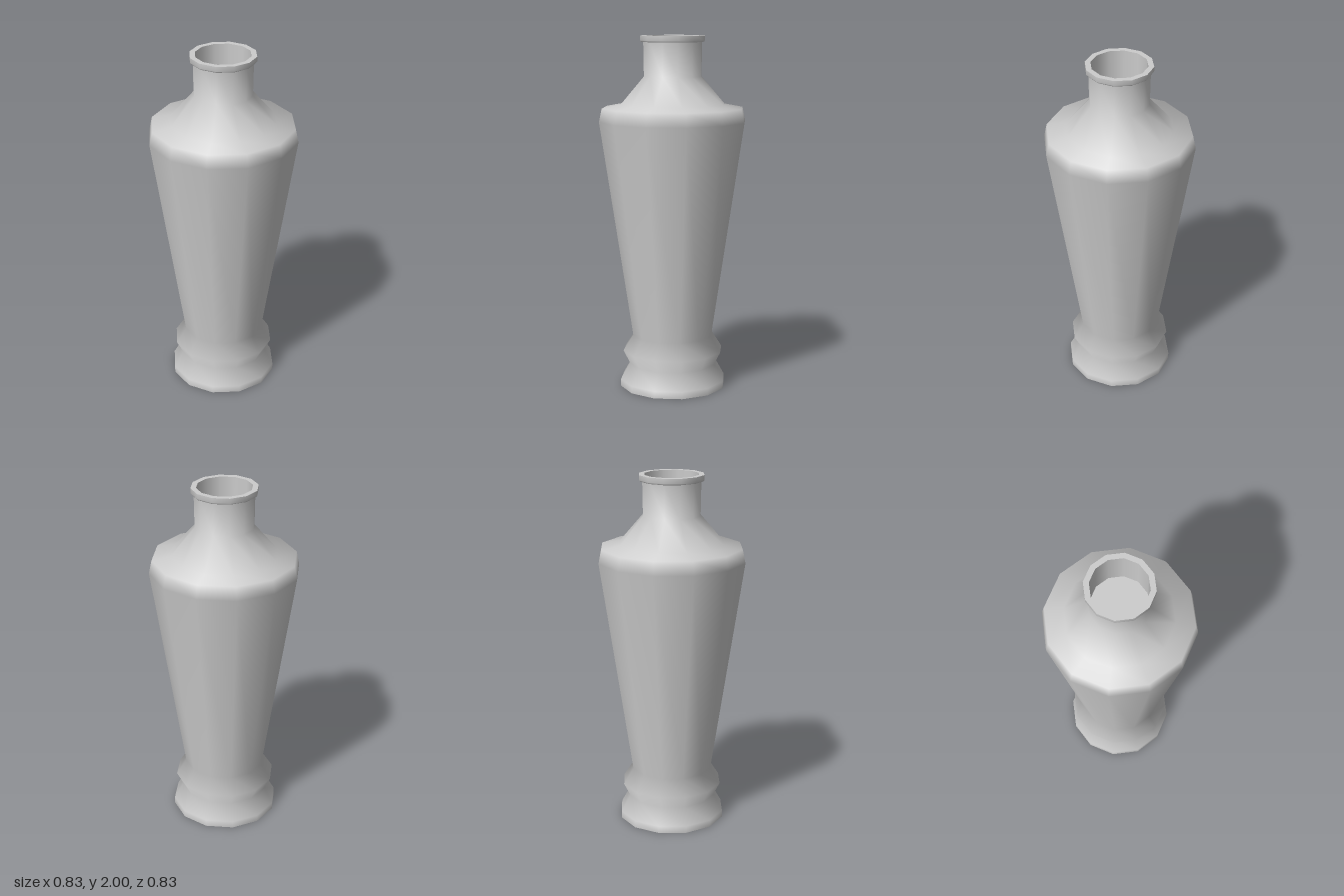
import * as THREE from 'three';

const SIDES = 12;

export function createModel() {
  const group = new THREE.Group();
  group.name = 'vase';
  const material = new THREE.MeshStandardMaterial({ color: 0xcccccc });

  // Each part is a turned profile of [radius, height]; separate parts keep hard edges between them
  const turn = (name, profile) => {
    const points = profile.map(([r, y]) => new THREE.Vector2(r, y));
    const mesh = new THREE.Mesh(new THREE.LatheGeometry(points, SIDES), material);
    mesh.name = name;
    group.add(mesh);
  };

  turn('base', [[0, 0], [0.303, 0]]);

  // Flared foot, collar ring, tapering body, shoulder and neck
  turn('body', [
    [0.303, 0], [0.303, 0.04], [0.25, 0.135], [0.287, 0.21], [0.23, 0.3],
    [0.416, 1.525], [0.4, 1.6], [0.295, 1.62], [0.163, 1.775], [0.166, 1.965],
  ]);

  // Lip around the mouth
  turn('lipUnderside', [[0.166, 1.965], [0.177, 1.965]]);
  turn('lipEdge', [[0.177, 1.965], [0.183, 1.973], [0.183, 2]]);
  turn('rim', [[0.183, 2], [0.153, 2]]);

  // Hollow neck
  turn('neckInside', [[0.153, 2], [0.153, 1.78]]);
  turn('neckFloor', [[0.153, 1.78], [0, 1.78]]);

  return group;
}
